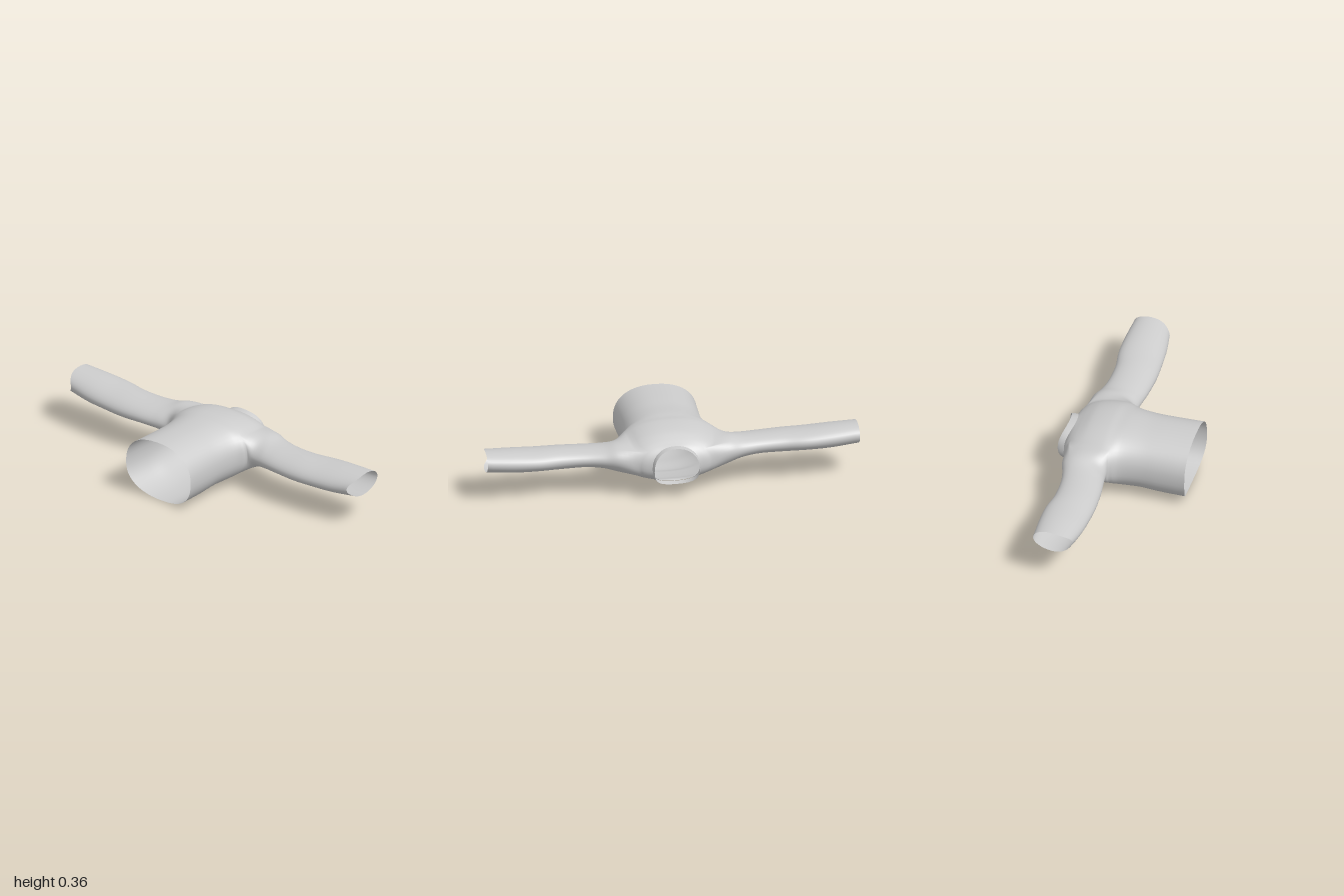
import * as THREE from 'three';

const COLS = 48, STEPS = 4;
const material = new THREE.MeshStandardMaterial({ color: 0xcccccc, side: THREE.DoubleSide });

// Body sections from hem to neck: x, centre y, half height, half width, x shift at top, x shift at bottom
const SECTIONS = [
  [-0.36, 0.175, 0.175, 0.225, -0.005, 0.027],
  [-0.2, 0.178, 0.175, 0.22, 0, 0],
  [-0.1, 0.184, 0.17, 0.222, 0, 0],
  [0, 0.19, 0.17, 0.24, 0, 0],
  [0.05, 0.198, 0.162, 0.268, 0, 0],
  [0.1, 0.204, 0.158, 0.27, 0, 0],
  [0.2, 0.207, 0.14, 0.26, 0, -0.01],
  [0.27, 0.204, 0.121, 0.24, -0.02, -0.04],
  [0.312, 0.199, 0.111, 0.185, -0.035, -0.06],
  [0.33, 0.193, 0.107, 0.125, -0.035, -0.065],
];

// Sleeve sections outward from the armhole: z, x min, x max, y min, y max
const SLEEVE = [
  [0.3, 0.05, 0.292, 0.13, 0.29],
  [0.37, 0.042, 0.27, 0.148, 0.274],
  [0.46, 0.03, 0.253, 0.155, 0.268],
  [0.6, 0.022, 0.25, 0.152, 0.27],
  [0.72, 0.025, 0.266, 0.155, 0.274],
  [0.85, 0.034, 0.266, 0.158, 0.282],
  [1, 0.05, 0.256, 0.172, 0.288],
];

// Slightly squared ring point in the y/z plane, with the x shift easing to zero at the sides
function ringPoint([x, cy, hy, hz, top, bottom], a, n = 2.3) {
  const c = Math.cos(a), s = Math.sin(a);
  const round = (v) => Math.sign(v) * Math.pow(Math.abs(v), 2 / n);
  return new THREE.Vector3(x + (s > 0 ? top : bottom) * s * s, cy + hy * round(s), hz * round(c));
}

function makeGeometry(points, index) {
  const g = new THREE.BufferGeometry().setFromPoints(points);
  g.setIndex(index);
  g.computeVertexNormals();
  return g;
}

// Body and sleeves are one continuous skin, open at hem, neck and cuffs
function garment() {
  const points = [], index = [];
  const rows = (SECTIONS.length - 1) * STEPS;
  const at = (i, j) => i * COLS + ((j + COLS) % COLS);
  const quad = (a, b, c, d) => index.push(a, b, c, a, c, d);

  const columns = [];
  for (let j = 0; j < COLS; j++) {
    const a = (j / COLS) * Math.PI * 2;
    columns.push(new THREE.CatmullRomCurve3(SECTIONS.map((s) => ringPoint(s, a))));
  }
  for (let i = 0; i <= rows; i++) columns.forEach((c) => points.push(c.getPoint(i / rows)));

  // Leave a rectangular armhole on each flank
  const r0 = 16, r1 = 31, half = 5;
  const inHole = (i, j) => {
    const d = (j + half) % (COLS / 2);
    return i >= r0 && i < r1 && d < half * 2;
  };
  for (let i = 0; i < rows; i++)
    for (let j = 0; j < COLS; j++)
      if (!inHole(i, j)) quad(at(i, j), at(i + 1, j), at(i + 1, j + 1), at(i, j + 1));

  // Loft each sleeve from the armhole rim
  for (const side of [1, -1]) {
    const mid = side > 0 ? 0 : COLS / 2;
    const rim = [];
    for (let i = r0; i < r1; i++) rim.push([i, -half]);
    for (let j = -half; j < half; j++) rim.push([r1, j]);
    for (let i = r1; i > r0; i--) rim.push([i, half]);
    for (let j = half; j > -half; j--) rim.push([r0, j]);

    const samples = 35;
    const strands = rim.map(([i, j]) => {
      const a = Math.atan2(j / half, (i - (r0 + r1) / 2) / ((r1 - r0) / 2));
      const start = at(i, mid + j);
      const path = [points[start].clone()];
      SLEEVE.forEach(([z, x0, x1, y0, y1]) => {
        const dx = (Math.cos(a) * (x1 - x0)) / 2;
        const lift = side < 0 ? 0.013 * z : 0;
        const y = (y0 + y1) / 2 + (side * Math.sin(a) * (y1 - y0)) / 2 + 0.12 * dx + lift;
        const notch = z === 1 ? 0.04 * Math.max(0, -Math.cos(a)) ** 3 : 0;
        path.push(new THREE.Vector3((x0 + x1) / 2 + dx, y, side * (z - notch)));
      });
      const curve = new THREE.CatmullRomCurve3(path);
      const ids = [start];
      for (let s = 1; s <= samples; s++) ids.push(points.push(curve.getPoint(s / samples)) - 1);
      return ids;
    });
    strands.forEach((p, k) => {
      const q = strands[(k + 1) % strands.length];
      for (let s = 0; s < samples; s++) quad(p[s], q[s], q[s + 1], p[s + 1]);
    });
  }
  return makeGeometry(points, index);
}

// Thin collar band standing up around the neck opening, highest at the shoulders
function collar() {
  const bands = [
    [0.328, 0.193, 0.108, 0.127, -0.035, -0.06],
    [0.35, 0.192, 0.109, 0.128, -0.034, -0.064],
    [0.365, 0.191, 0.11, 0.122, -0.035, -0.065],
  ];
  const points = [], index = [];
  bands.forEach((b) => {
    for (let j = 0; j < COLS; j++) points.push(ringPoint(b, (j / COLS) * Math.PI * 2));
  });
  for (let i = 0; i < bands.length - 1; i++)
    for (let j = 0; j < COLS; j++) {
      const a = i * COLS + j, b = i * COLS + ((j + 1) % COLS);
      index.push(a, a + COLS, b + COLS, a, b + COLS, b);
    }
  return makeGeometry(points, index);
}

export function createModel() {
  const model = new THREE.Group();
  model.name = 'longSleevedShirt';
  for (const [name, geometry] of [['bodyAndSleeves', garment()], ['collar', collar()]]) {
    const mesh = new THREE.Mesh(geometry, material);
    mesh.name = name;
    model.add(mesh);
  }
  return model;
}
